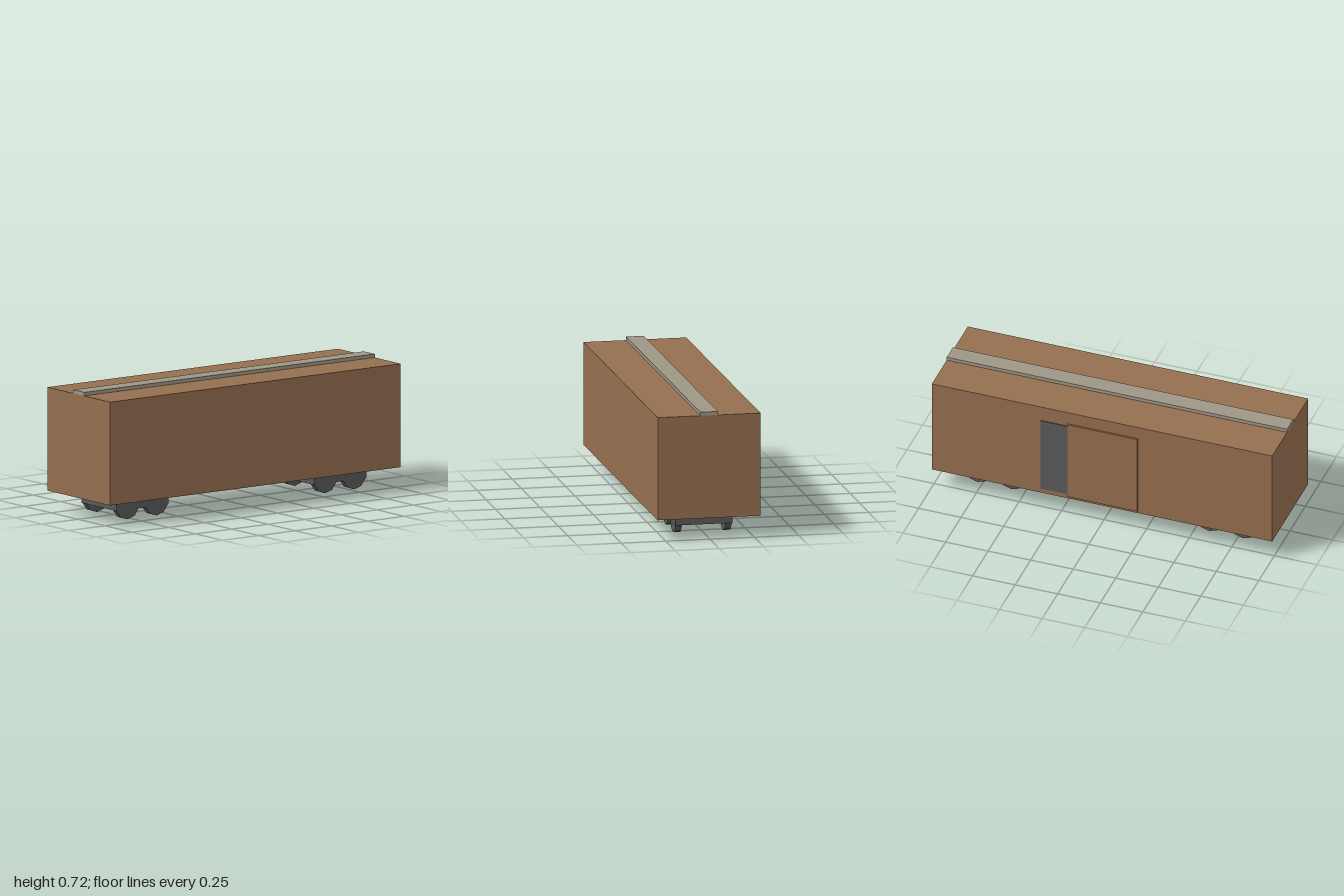
import * as THREE from 'three';

const brown = new THREE.MeshStandardMaterial({ name: 'wagon brown', color: 0x956f50, flatShading: true });
const tan = new THREE.MeshStandardMaterial({ name: 'walkway grey', color: 0x9e9585, flatShading: true });
const grey = new THREE.MeshStandardMaterial({ name: 'dark iron', color: 0x595959, flatShading: true });

// Box given by its limits on each axis
function box(name, material, [x0, x1], [y0, y1], [z0, z1]) {
  const mesh = new THREE.Mesh(new THREE.BoxGeometry(x1 - x0, y1 - y0, z1 - z0), material);
  mesh.position.set((x0 + x1) / 2, (y0 + y1) / 2, (z0 + z1) / 2);
  mesh.name = name;
  return mesh;
}

// Wheel truck: a frame plate with four ten-sided wheels
function createTruck(name, x) {
  const truck = new THREE.Group();
  truck.name = name;
  truck.position.x = x;
  truck.add(box('truckFrame', grey, [-0.18, 0.18], [0.055, 0.12], [-0.155, 0.165]));
  const wheelGeometry = new THREE.CylinderGeometry(0.08, 0.08, 0.035, 10).rotateX(Math.PI / 2);
  for (const wx of [-0.1, 0.1]) {
    for (const side of [-1, 1]) {
      const wheel = new THREE.Mesh(wheelGeometry, grey);
      wheel.name = 'wheel';
      wheel.position.set(wx, 0.08, 0.005 + side * 0.1405);
      truck.add(wheel);
    }
  }
  return truck;
}

export function createModel() {
  const wagon = new THREE.Group();
  wagon.name = 'boxcar';

  // Body and roof walkway
  wagon.add(box('body', brown, [-1, 1], [0.12, 0.7], [-0.285, 0.295]));
  wagon.add(box('roofWalkway', tan, [-1, 1], [0.7, 0.72], [-0.045, 0.055]));

  // Half-open sliding door on the back side
  wagon.add(box('doorOpening', grey, [0.2, 0.36], [0.15, 0.61], [-0.291, -0.285]));
  wagon.add(box('slidingDoor', brown, [-0.21, 0.2], [0.137, 0.625], [-0.295, -0.285]));

  // Trucks under both ends
  wagon.add(createTruck('leftTruck', 0.68), createTruck('rightTruck', -0.68));
  return wagon;
}
